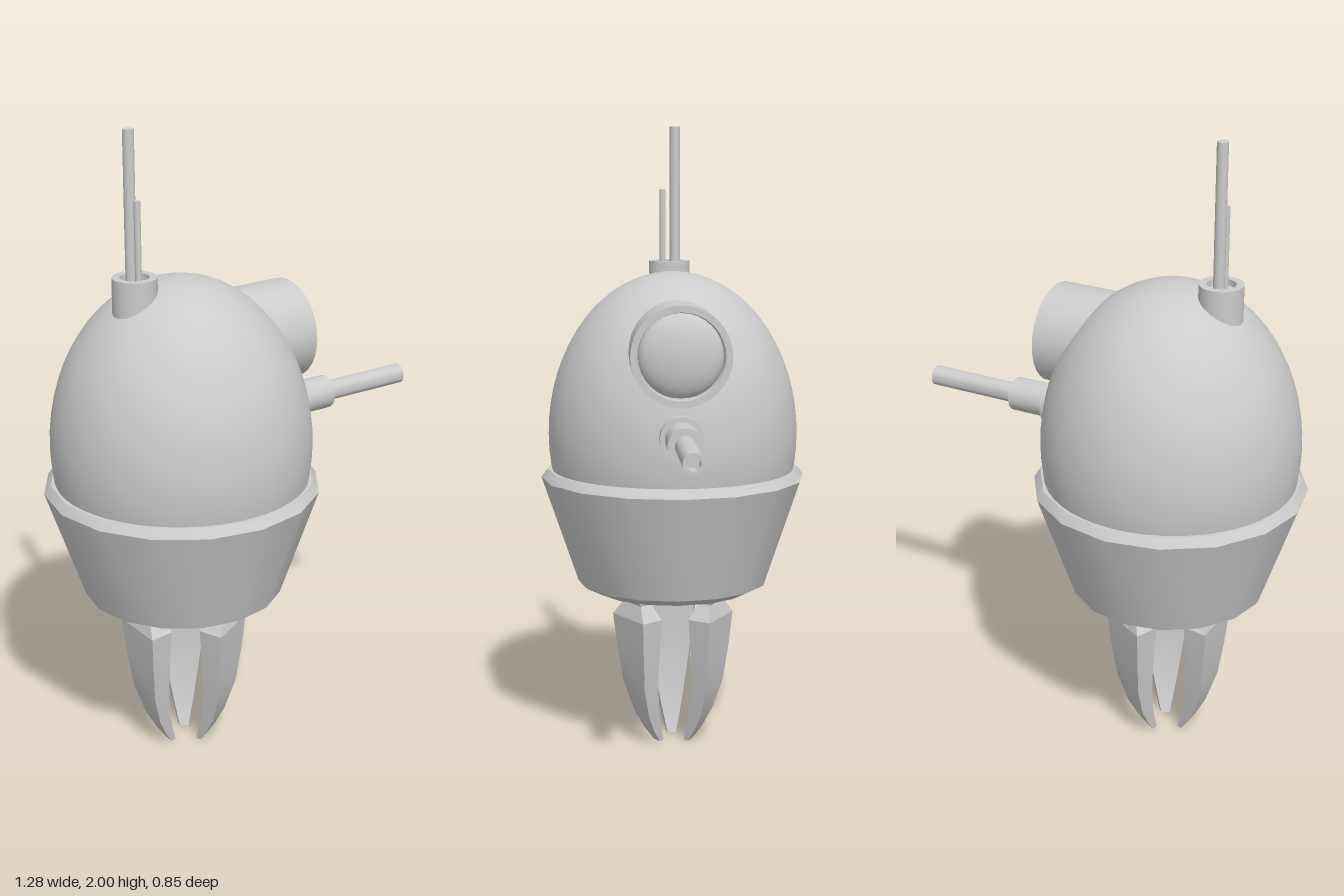
import * as THREE from 'three';
import { toCreasedNormals } from 'three/addons/utils/BufferGeometryUtils.js';

const AXIS = -0.215; // x of the body's vertical axis
const grey = new THREE.MeshStandardMaterial({ color: 0xcccccc });

function part(name, geometry, parent, x = 0, y = 0, z = 0) {
  const mesh = new THREE.Mesh(geometry, grey);
  mesh.name = name;
  mesh.position.set(x, y, z);
  parent.add(mesh);
  return mesh;
}

// Turned part from [radius, height] pairs, hard edges kept sharp
function turned(pairs, sides) {
  const points = pairs.map(([r, y]) => new THREE.Vector2(r, y));
  return toCreasedNormals(new THREE.LatheGeometry(points, sides), 0.5);
}

// Lofted claw finger; sections are [y, inner reach, outer reach, inner half width, outer half width]
function fingerGeometry() {
  const sections = [
    [0.6, 0.15, 0.2, 0.05, 0.06],
    [0.515, 0.13, 0.185, 0.05, 0.06],
    [0.478, 0.112, 0.158, 0.042, 0.052],
    [0.43, 0.095, 0.175, 0.078, 0.09],
    [0.32, 0.097, 0.166, 0.068, 0.08],
    [0.2, 0.092, 0.152, 0.052, 0.063],
    [0.1, 0.076, 0.122, 0.035, 0.043],
    [0.045, 0.062, 0.094, 0.024, 0.03],
    [0, 0.047, 0.064, 0.014, 0.018],
  ].map(([y, ri, ro, wi, wo]) => [[ro, y, wo], [ro, y, -wo], [ri, y, -wi], [ri, y, wi]]);
  const out = [];
  const quad = (a, b, c, d) => out.push(...a, ...b, ...c, ...a, ...c, ...d);
  for (let k = 0; k < sections.length - 1; k++) {
    const up = sections[k], low = sections[k + 1];
    for (let i = 0; i < 4; i++) {
      const j = (i + 1) % 4;
      quad(up[i], low[i], low[j], up[j]);
    }
  }
  quad(...sections[0]);
  quad(...[...sections[sections.length - 1]].reverse());
  const geometry = new THREE.BufferGeometry();
  geometry.setAttribute('position', new THREE.Float32BufferAttribute(out, 3));
  return toCreasedNormals(geometry, 0.3);
}

export function createModel() {
  const model = new THREE.Group();
  model.name = 'probe';

  // Egg-shaped body
  const egg = new THREE.SphereGeometry(1, 48, 32);
  egg.scale(0.4, 0.52, 0.4);
  part('body', egg, model, AXIS, 1.025);

  // Sixteen-sided skirt, hollow underneath
  part('skirt', turned([
    [0.225, 0.62], [0.245, 0.53], [0.255, 0.513], [0.308, 0.54],
    [0.425, 0.885], [0.405, 0.912], [0.37, 0.912],
  ], 16), model, AXIS);

  // Three claw fingers
  const claw = new THREE.Group();
  claw.name = 'claw';
  claw.position.x = AXIS;
  model.add(claw);
  const finger = fingerGeometry();
  for (let i = 0; i < 3; i++) {
    part('finger', finger, claw).rotation.y = Math.PI / 3 + (i * Math.PI * 2) / 3;
  }

  // Eye: hooded tube with a bulging lens, pointing to +x
  const eye = new THREE.Group();
  eye.name = 'eye';
  eye.position.y = 1.315;
  eye.rotation.z = -Math.PI / 2;
  model.add(eye);
  part('eyeHousing', turned([
    [0.155, -0.15], [0.155, 0.182], [0.134, 0.182], [0.13, 0.15], [0, 0.15],
  ], 32), eye);
  const lens = new THREE.SphereGeometry(0.13, 32, 12, 0, Math.PI * 2, 0, Math.PI / 2);
  lens.scale(1, 0.4, 1);
  part('lens', lens, eye, 0, 0.153);

  // Gun: flange, sleeve and hollow barrel along +x
  const gun = new THREE.Group();
  gun.name = 'gun';
  gun.position.y = 1.07;
  gun.rotation.z = -Math.PI / 2;
  model.add(gun);
  part('gunFlange', turned([[0.068, 0.1], [0.068, 0.212], [0, 0.212]], 24), gun);
  part('gunSleeve', turned([[0.053, 0.2], [0.053, 0.335], [0, 0.335]], 24), gun);
  part('gunBarrel', turned([
    [0.032, 0.32], [0.032, 0.637], [0.021, 0.637], [0.021, 0.58], [0, 0.58],
  ], 20), gun);

  // Antenna socket with two rods
  const antenna = new THREE.Group();
  antenna.name = 'antenna';
  antenna.position.x = -0.37;
  model.add(antenna);
  part('antennaSocket', turned([
    [0.067, 1.38], [0.067, 1.57], [0.044, 1.57], [0.044, 1.55], [0, 1.55],
  ], 24), antenna);
  for (const [name, r, top, z] of [['longRod', 0.017, 2, -0.018], ['shortRod', 0.01, 1.8, 0.022]]) {
    const height = top - 1.5;
    part(name, new THREE.CylinderGeometry(r, r, height, 16), antenna, 0, top - height / 2, z);
  }

  return model;
}
